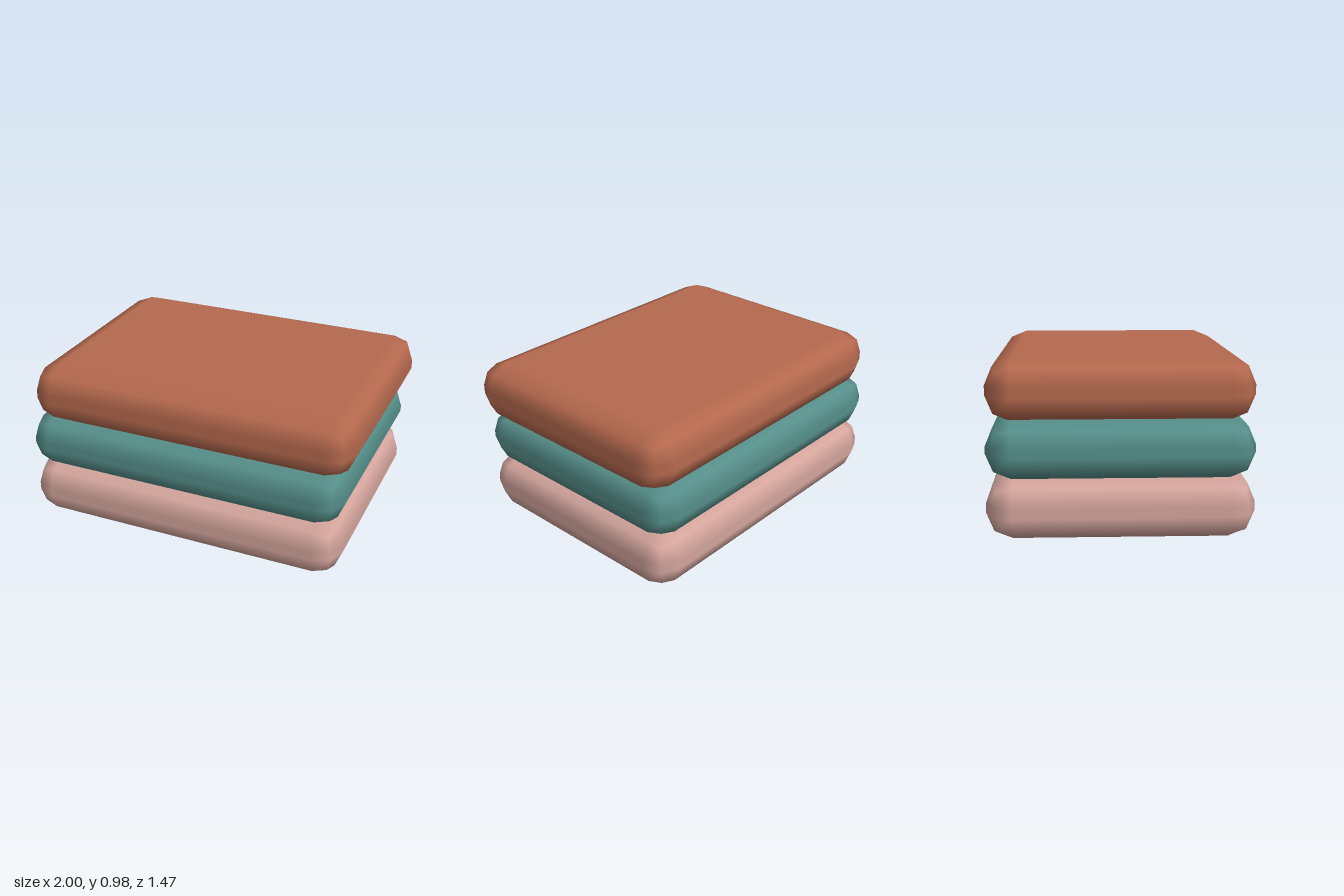
import * as THREE from 'three';
import { RoundedBoxGeometry } from 'three/addons/geometries/RoundedBoxGeometry.js';

const WIDTH = 1.957, DEPTH = 1.466, RADIUS = 0.145;

function material(name, color) {
  const m = new THREE.MeshStandardMaterial({ color });
  m.name = name;
  return m;
}

export function createModel() {
  const group = new THREE.Group();
  group.name = 'stackedCushions';

  // Soft slabs, bottom to top, each with one-step rounded edges
  const cushions = [
    { name: 'bottomCushion', bottom: 0, top: 0.342, x: -0.0215, mat: material('dusty pink', 0xd4a59d) },
    { name: 'middleCushion', bottom: 0.328, top: 0.656, x: -0.0215, mat: material('teal', 0x568f8a) },
    { name: 'topCushion', bottom: 0.638, top: 0.98, x: 0.0215, mat: material('terracotta', 0xb5694e) },
  ];

  for (const { name, bottom, top, x, mat } of cushions) {
    const geometry = new RoundedBoxGeometry(WIDTH, top - bottom, DEPTH, 1, RADIUS);
    const mesh = new THREE.Mesh(geometry, mat);
    mesh.name = name;
    mesh.position.set(x, (bottom + top) / 2, 0);
    group.add(mesh);
  }
  return group;
}
